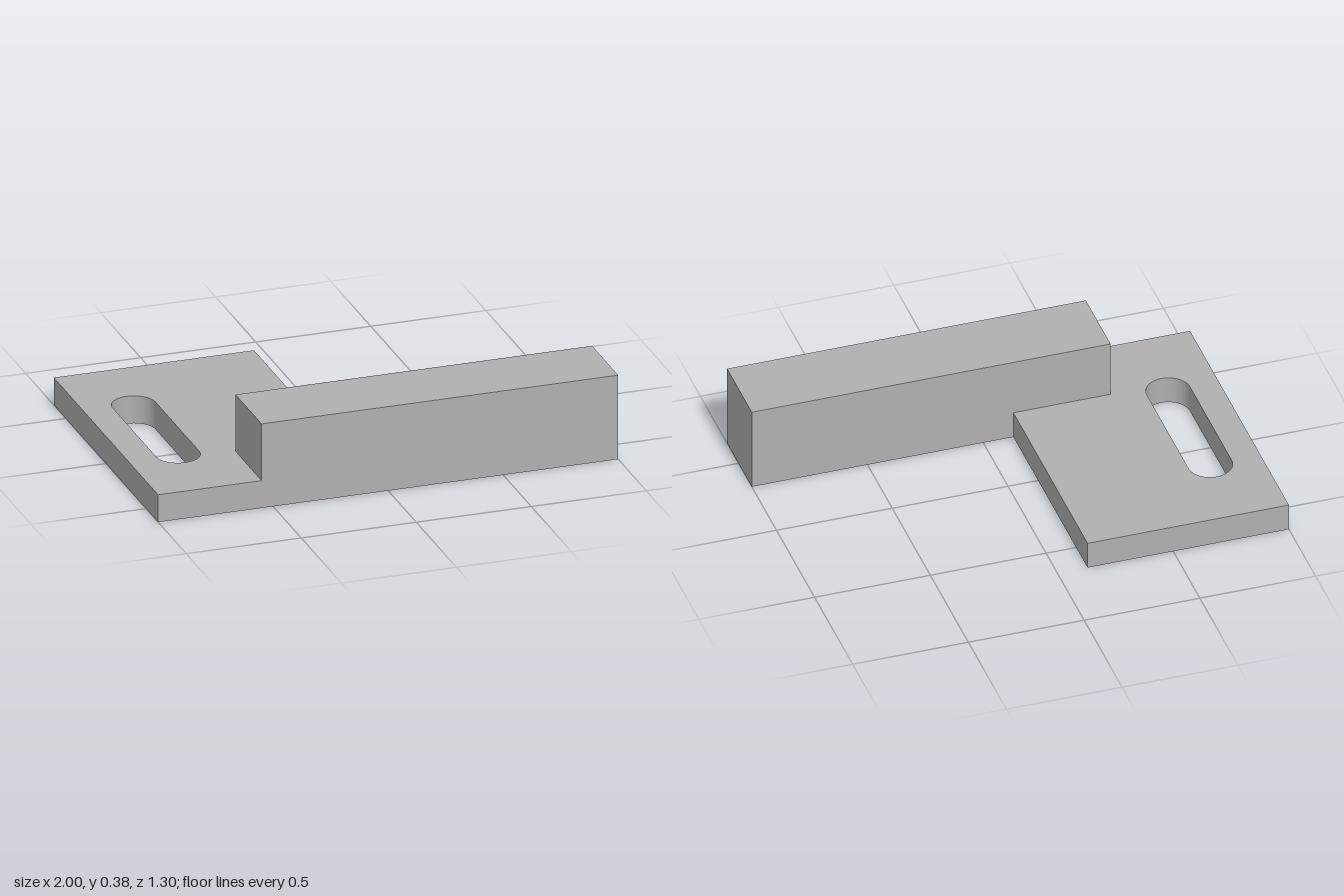
import * as THREE from 'three';
import { toCreasedNormals } from 'three/addons/utils/BufferGeometryUtils.js';

export function createModel() {
  const group = new THREE.Group();
  group.name = 'slottedBracket';
  const grey = new THREE.MeshStandardMaterial({ color: 0xb0b0b0 });
  grey.name = 'plain grey';

  const addPart = (name, geometry) => {
    const mesh = new THREE.Mesh(geometry, grey);
    mesh.name = name;
    group.add(mesh);
    return mesh;
  };

  // Plan outline of the plate (shape y = -z), notched to receive the bar
  const halfDepth = 0.65, barBack = 0.325, barLeft = -0.55, plateRight = -0.13;
  const outline = new THREE.Shape([
    [-1, -halfDepth], [barLeft, -halfDepth], [barLeft, -barBack],
    [plateRight, -barBack], [plateRight, halfDepth], [-1, halfDepth],
  ].map(([x, y]) => new THREE.Vector2(x, y)));

  // Rounded slot through the plate
  const slotX = -0.783, slotRadius = 0.093, slotReach = 0.273;
  const slot = new THREE.Path();
  slot.absarc(slotX, slotReach, slotRadius, 0, Math.PI, false);
  slot.absarc(slotX, -slotReach, slotRadius, Math.PI, Math.PI * 2, false);
  slot.closePath();
  outline.holes.push(slot);

  const plate = new THREE.ExtrudeGeometry(outline, {
    depth: 0.122, bevelEnabled: false, curveSegments: 24,
  });
  plate.rotateX(-Math.PI / 2);
  addPart('slottedPlate', toCreasedNormals(plate, Math.PI / 6));

  // Tall bar along the front edge
  const barHeight = 0.375;
  const bar = addPart('bar', new THREE.BoxGeometry(1 - barLeft, barHeight, halfDepth - barBack));
  bar.position.set((1 + barLeft) / 2, barHeight / 2, (halfDepth + barBack) / 2);

  return group;
}
